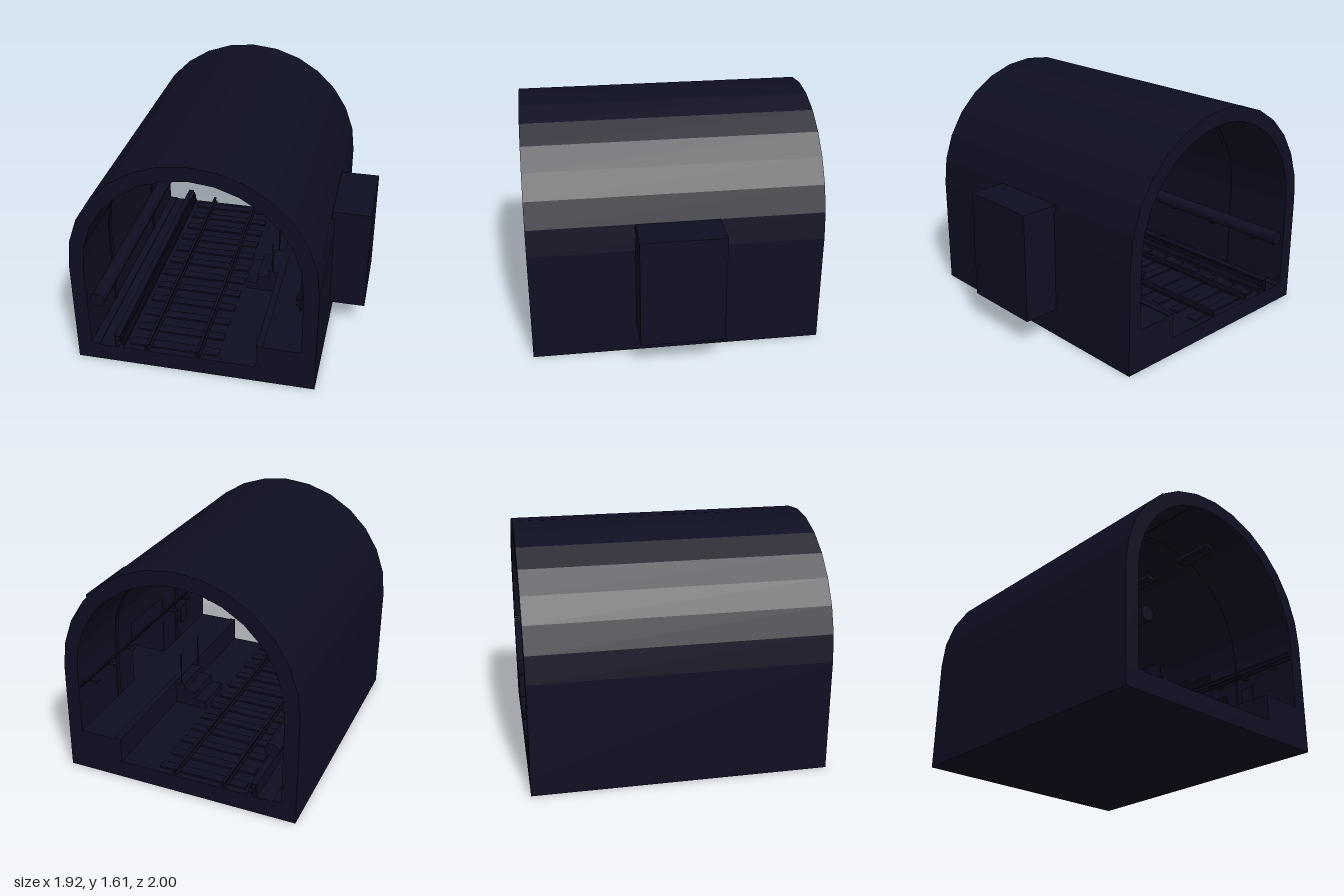
import * as THREE from 'three';

export function createModel() {
  const root = new THREE.Group();
  const dark = new THREE.MeshStandardMaterial({ color: 0x0e0e22 });
  dark.name = 'midnight navy';
  const CX = -0.125, SPRING = 0.78, OUT = 0.833, INN = 0.733, SEG = 14;

  const add = (name, geo, x = 0, y = 0, z = 0) => {
    const m = new THREE.Mesh(geo, dark);
    m.name = name;
    m.position.set(x, y, z);
    root.add(m);
    return m;
  };
  // box given by its limits on each axis
  const box = (name, x0, x1, y0, y1, z0 = -1, z1 = 1) =>
    add(name, new THREE.BoxGeometry(x1 - x0, y1 - y0, z1 - z0), (x0 + x1) / 2, (y0 + y1) / 2, (z0 + z1) / 2);
  // round bar running the length of the tunnel
  const bar = (name, x, y, r, sides) => {
    const g = new THREE.CylinderGeometry(r, r, 2, sides);
    g.rotateX(Math.PI / 2);
    return add(name, g, x, y, 0);
  };
  // half ring with a faceted outline
  const arch = (name, outer, inner, z0, z1) => {
    const pts = [];
    for (let i = 0; i <= SEG; i++) {
      const a = (i / SEG) * Math.PI;
      pts.push(new THREE.Vector2(CX + outer * Math.cos(a), SPRING + outer * Math.sin(a)));
    }
    for (let i = SEG; i >= 0; i--) {
      const a = (i / SEG) * Math.PI;
      pts.push(new THREE.Vector2(CX + inner * Math.cos(a), SPRING + inner * Math.sin(a)));
    }
    return add(name, new THREE.ExtrudeGeometry(new THREE.Shape(pts), { depth: z1 - z0, bevelEnabled: false }), 0, 0, z0);
  };

  // tunnel shell, with a doorway in the right wall
  const L0 = CX - OUT, L1 = CX - INN, R0 = CX + INN, R1 = CX + OUT;
  arch('vault', OUT, INN, -1, 1);
  box('floor', L0, R1, 0, 0.125);
  box('leftWall', L0, L1, 0.125, SPRING);
  box('rightWallBack', R0, R1, 0.125, SPRING, -1, -0.25);
  box('rightWallFront', R0, R1, 0.125, SPRING, 0.25, 1);
  box('doorSill', R0, R1, 0.125, 0.3, -0.25, 0.25);

  // thin lining ribs
  for (const z of [-0.48, 0.48]) {
    arch('ribArch', INN + 0.01, INN - 0.006, z - 0.02, z + 0.02);
    box('ribLeft', L1 - 0.01, L1 + 0.006, 0.125, SPRING, z - 0.02, z + 0.02);
    box('ribRight', R0 - 0.006, R0 + 0.01, 0.3, SPRING, z - 0.02, z + 0.02);
  }

  // side alcove
  box('alcoveFloor', R1, 0.96, 0.2, 0.3, -0.285, 0.285);
  box('alcoveRoof', 0.69, 0.96, 0.915, 0.965, -0.285, 0.285);
  box('alcoveBack', 0.92, 0.96, 0.3, 0.915, -0.285, 0.285);
  for (const s of [-1, 1]) {
    const a = s * 0.25, b = s * 0.285;
    box('alcoveSide', R1, 0.92, 0.3, 0.915, Math.min(a, b), Math.max(a, b));
  }

  // walkway, steps and posts
  box('walkway', 0.305, R0, 0.125, 0.3);
  box('walkwayEdge', 0.305, 0.35, 0.3, 0.306);
  [[0.06, 0.185], [0.145, 0.245], [0.23, 0.3]].forEach(([x, top]) =>
    box('step', x, Math.min(x + 0.085, 0.305), 0.125, top, -0.15, 0.15));
  for (const z of [-0.145, 0.145])
    add('handrailPost', new THREE.CylinderGeometry(0.005, 0.005, 0.25, 8), 0.26, 0.425, z);

  // track
  for (let i = 0; i < 12; i++) {
    const z = -0.92 + i * 0.1673;
    box('sleeper', -0.59, 0.035, 0.12, 0.138, z - 0.035, z + 0.035);
  }
  for (const x of [-0.455, -0.1]) {
    box('railFoot', x - 0.018, x + 0.018, 0.137, 0.144);
    box('railWeb', x - 0.004, x + 0.004, 0.144, 0.168);
    box('railHead', x - 0.01, x + 0.01, 0.166, 0.177);
  }

  // power rail with its cover board
  box('powerRailFoot', -0.657, -0.623, 0.125, 0.144);
  box('powerRailBody', -0.649, -0.631, 0.144, 0.185);
  box('powerRailHead', -0.649, -0.639, 0.185, 0.205);
  box('coverBoard', -0.688, -0.68, 0.125, 0.225);
  box('coverTop', -0.688, -0.645, 0.217, 0.225);
  box('leftLedge', L1, -0.8, 0.125, 0.133);

  // wall pipe and its brackets
  bar('wallPipe', -0.783, 0.515, 0.05, 12);
  for (const z of [-0.8, -0.4, 0, 0.4, 0.8])
    box('pipeBracket', L1, -0.755, 0.458, 0.47, z - 0.02, z + 0.02);

  // cable racks and cables either side of the doorway
  for (const z of [-0.85, -0.6, -0.35, 0.35, 0.6, 0.85])
    box('cableRack', 0.54, R0, 0.625, 0.636, z - 0.02, z + 0.02);
  [[0.567, 0.69], [0.581, 0.67], [0.592, 0.65]].forEach(([x, y]) => bar('cable', x, y, 0.007, 6));
  box('wallPanel', 0.596, R0, 0.42, 0.56, 0.55, 0.65);

  // ceiling conduit and lamps
  bar('ceilingConduit', -0.355, 1.475, 0.009, 6);
  for (const z of [-0.6, 0, 0.6]) {
    box('lampHousing', 0.055, 0.145, 1.45, 1.485, z - 0.15, z + 0.15);
    box('lampLens', 0.068, 0.128, 1.436, 1.45, z - 0.13, z + 0.13);
  }
  return root;
}
